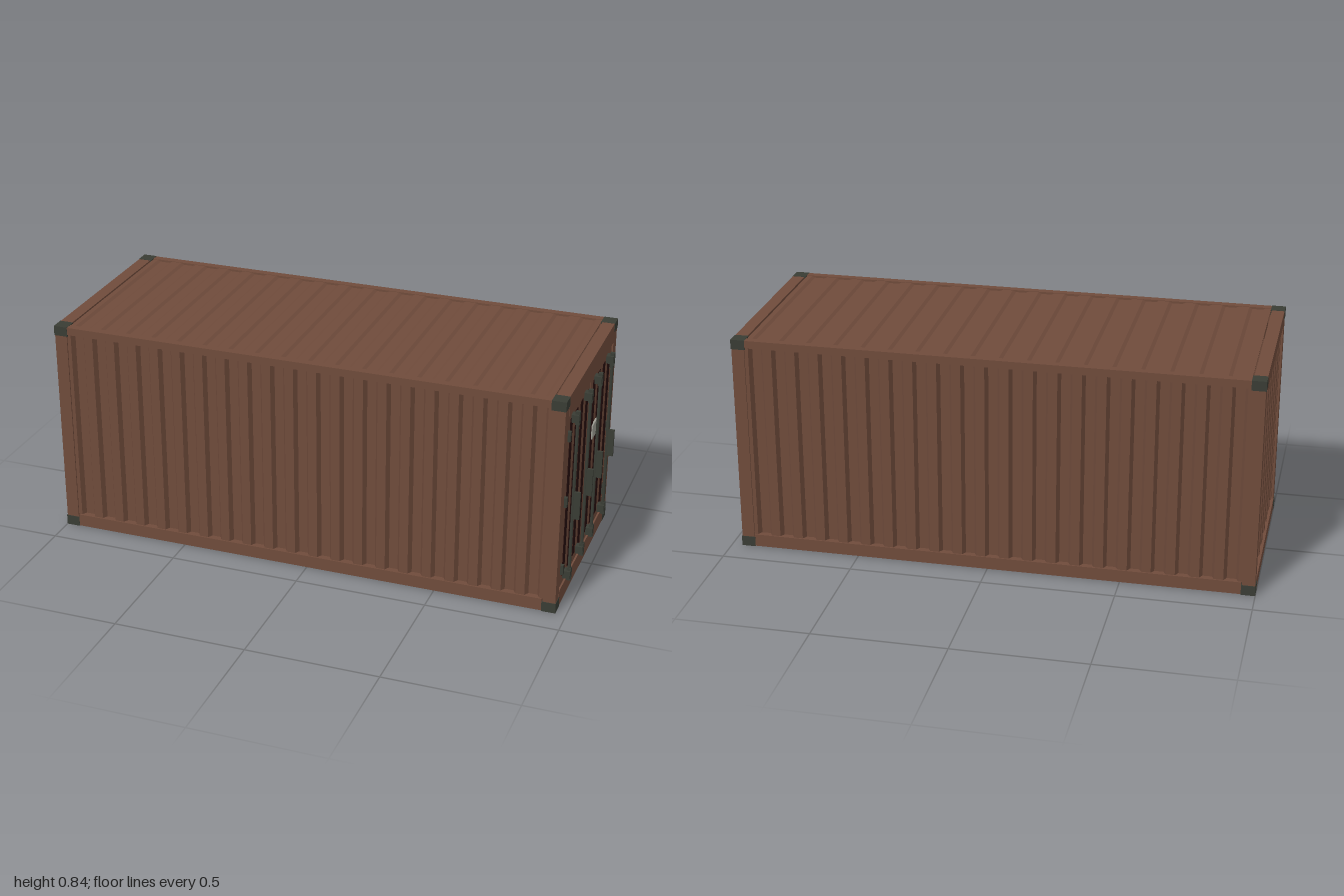
import * as THREE from 'three';

const mat = (name, color, side = THREE.FrontSide) => {
  const m = new THREE.MeshStandardMaterial({ color, side });
  m.name = name;
  return m;
};

export function createModel() {
  const paint = mat('brown paint', 0x6f4b3b);
  const steel = mat('dark steel', 0x393c34);
  const groove = mat('dark groove', 0x240d0c);
  const plate = mat('pale plate', 0x9c9c92);

  const model = new THREE.Group();
  model.name = 'shippingContainer';

  const add = (name, geometry, material, parent = model) => {
    const mesh = new THREE.Mesh(geometry, material);
    mesh.name = name;
    parent.add(mesh);
    return mesh;
  };
  // Box given by its minimum and maximum on each axis
  const box = (name, material, x0, x1, y0, y1, z0, z1, parent) => {
    const mesh = add(name, new THREE.BoxGeometry(x1 - x0, y1 - y0, z1 - z0), material, parent);
    mesh.position.set((x0 + x1) / 2, (y0 + y1) / 2, (z0 + z1) / 2);
    return mesh;
  };
  // Thin trapezoid-corrugated sheet: waves along x, ridges facing +y, extruded along z
  const sheet = (length, count, top, bottom, depth, thick = 0.004) => {
    const pitch = length / count;
    const pts = [[-length / 2, top]];
    for (let i = 0; i < count; i++) {
      const u = -length / 2 + i * pitch;
      pts.push([u + 0.19 * pitch, top], [u + 0.31 * pitch, bottom],
        [u + 0.69 * pitch, bottom], [u + 0.81 * pitch, top]);
    }
    pts.push([length / 2, top]);
    const under = pts.map(([u, v]) => [u, v - thick]).reverse();
    const shape = new THREE.Shape([...pts, ...under].map(([u, v]) => new THREE.Vector2(u, v)));
    return new THREE.ExtrudeGeometry(shape, { depth, bevelEnabled: false });
  };

  const L = -1, R = 0.96, W = 0.395, H = 0.84, C = 0.053;
  const mid = (L + R) / 2;

  // Corner castings and posts
  for (const [x0, x1] of [[L, L + C], [R - C, R]]) {
    for (const s of [-1, 1]) {
      const z0 = s > 0 ? W - C : -W, z1 = z0 + C;
      box('cornerCasting', steel, x0, x1, 0, 0.039, z0, z1);
      box('cornerCasting', steel, x0, x1, H - 0.037, H, z0, z1);
      const px = x0 < 0 ? L + 0.002 : R - 0.05;
      box('cornerPost', paint, px, px + 0.048, 0.039, H - 0.037,
        s > 0 ? 0.345 : -0.393, s > 0 ? 0.393 : -0.345);
    }
  }

  // Long rails and corrugated side walls
  for (const s of [-1, 1]) {
    const z0 = s > 0 ? 0.365 : -0.394, z1 = s > 0 ? 0.394 : -0.365;
    box('bottomSideRail', paint, L + C, R - C, 0.002, 0.05, z0, z1);
    box('topSideRail', paint, L + C, R - C, 0.81, H - 0.001, z0, z1);
    const wall = add('sideWall', sheet(1.866, 21, 0.388, 0.37, 0.764)
      .rotateX(-Math.PI / 2).rotateY(s > 0 ? Math.PI : 0), paint);
    wall.position.set(mid, 0.048, 0);
  }

  // Roof sheet, leaving a narrow slit at each end
  const roof = add('roof', sheet(1.852, 18, 0.837, 0.831, 0.734), paint);
  roof.position.set(mid, 0, -0.367);

  // Closed end
  box('endBottomRail', paint, L + 0.001, L + 0.049, 0.002, 0.05, -0.343, 0.343);
  box('endTopRail', paint, L + 0.001, L + 0.049, 0.785, H - 0.001, -0.343, 0.343);
  const endWall = add('endWall', sheet(0.69, 7, 0.01, -0.01, 0.74)
    .rotateX(-Math.PI / 2).rotateY(Math.PI / 2), paint);
  endWall.position.set(-0.98, 0.048, 0);

  // Door end frame
  box('doorSill', paint, R - 0.048, R - 0.001, 0.002, 0.065, -0.343, 0.343);
  box('doorHeader', paint, R - 0.048, R - 0.001, 0.763, H - 0.001, -0.343, 0.343);

  // Doors with grooves, hinges and locking rods
  const face = 0.953;
  for (const s of [-1, 1]) {
    const door = new THREE.Group();
    door.name = s > 0 ? 'frontDoor' : 'backDoor';
    model.add(door);
    const span = (name, m, x0, x1, y0, y1, a, b) =>
      box(name, m, x0, x1, y0, y1, Math.min(a, b), Math.max(a, b), door);

    span('doorPanel', paint, 0.92, face, 0.067, 0.761, s * 0.003, s * 0.342);
    const first = s > 0 ? 0.049 : -0.295;
    for (let i = 0; i < 4; i++) {
      const z = first + i * 0.0765;
      span('doorGroove', groove, face - 0.001, face + 0.002, 0.1, 0.73, z - 0.0165, z + 0.0165);
    }
    for (const y of [0.148, 0.423, 0.682]) {
      span('hinge', steel, face - 0.003, 0.967, y - 0.019, y + 0.019, s * 0.322, s * 0.338);
    }
    for (const z of [s * 0.076, s * 0.2685]) {
      const rod = add('lockingRod', new THREE.CylinderGeometry(0.006, 0.006, 0.67, 12), steel, door);
      rod.position.set(0.974, 0.415, z);
      for (const y of [0.1, 0.728]) {
        span('rodBracket', steel, face - 0.002, 0.981, y - 0.015, y + 0.015, z - 0.015, z + 0.015);
        span('rodCam', steel, 0.966, 0.982, y - 0.025, y + 0.026, z - 0.007, z + 0.007);
      }
      span('rodHandle', steel, 0.975, 1.0, 0.328, 0.437, z - 0.005, z + 0.005);
    }
  }
  box('dataPlate', plate, face, face + 0.007, 0.488, 0.545, -0.136, -0.058);

  return model;
}
